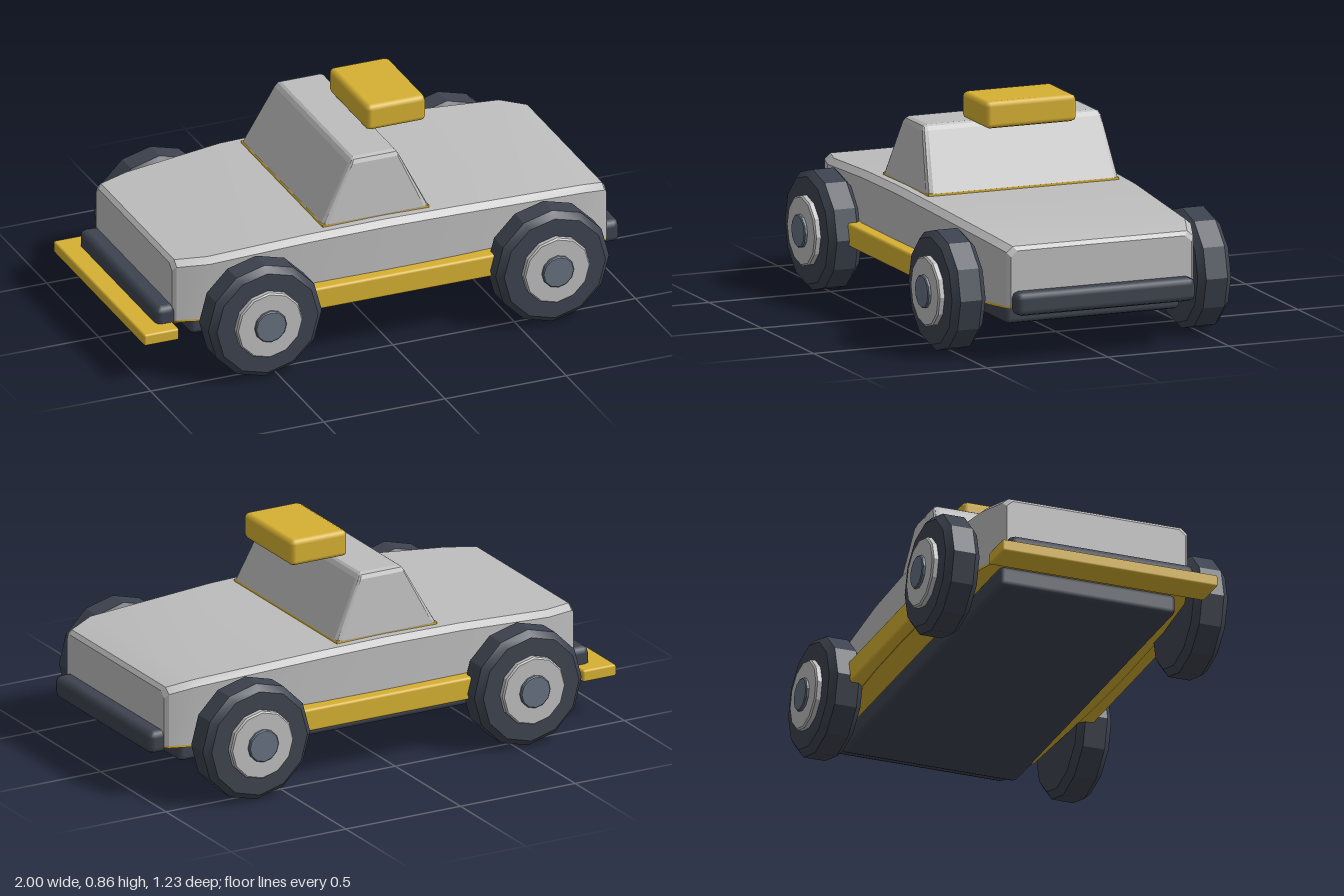
import * as THREE from 'three';
import { toCreasedNormals } from 'three/addons/utils/BufferGeometryUtils.js';
import { RoundedBoxGeometry } from 'three/addons/geometries/RoundedBoxGeometry.js';

function material(name, color) {
  const m = new THREE.MeshStandardMaterial({ color });
  m.name = name;
  return m;
}

// Skin closed cross-sections running along x; every ring has the same number of [z, y] points.
function loft(rings) {
  const n = rings[0].points.length, pos = [], idx = [];
  for (const r of rings) for (const [z, y] of r.points) pos.push(r.x, y, z);
  for (let i = 0; i < rings.length - 1; i++) {
    for (let j = 0; j < n; j++) {
      const k = (j + 1) % n;
      const a = i * n + j, b = a + n, c = (i + 1) * n + k, d = i * n + k;
      idx.push(a, b, c, a, c, d);
    }
  }
  const last = (rings.length - 1) * n;
  for (let j = 1; j < n - 1; j++) {
    idx.push(0, j, j + 1, last, last + j + 1, last + j);
  }
  const g = new THREE.BufferGeometry();
  g.setAttribute('position', new THREE.Float32BufferAttribute(pos, 3));
  g.setIndex(idx);
  return toCreasedNormals(g, 0.4);
}

// Twelve-sided disc with chamfered rims, its axis along z.
function disc(radius, z0, z1, bevel) {
  const profile = [
    [0, z0], [radius - bevel, z0], [radius, z0 + bevel],
    [radius, z1 - bevel], [radius - bevel, z1], [0, z1],
  ].map(([r, z]) => new THREE.Vector2(r, z));
  const g = new THREE.LatheGeometry(profile, 12).rotateX(Math.PI / 2);
  return toCreasedNormals(g, 0.4);
}

export function createModel() {
  const model = new THREE.Group();
  model.name = 'car';
  const grey = material('light grey', 0xbdbdbd);
  const dark = material('dark slate', 0x3d434f);
  const yellow = material('yellow', 0xd6b032);
  const steel = material('steel grey', 0x667080);

  function add(name, geometry, mat, parent = model) {
    const mesh = new THREE.Mesh(geometry, mat);
    mesh.name = name;
    parent.add(mesh);
    return mesh;
  }

  // Chamfered box given by its limits
  function block(name, mat, [x0, x1], [y0, y1], [z0, z1], bevel) {
    const g = new RoundedBoxGeometry(x1 - x0, y1 - y0, z1 - z0, 1, bevel);
    g.translate((x0 + x1) / 2, (y0 + y1) / 2, (z0 + z1) / 2);
    return add(name, g, mat);
  }

  // Body: x, half width, top height
  const stations = [
    [-0.855, 0.365, 0.445], [-0.84, 0.378, 0.46], [-0.72, 0.416, 0.467],
    [-0.32, 0.448, 0.497], [0, 0.452, 0.502], [0.28, 0.448, 0.496],
    [0.82, 0.42, 0.47], [0.922, 0.385, 0.446], [0.935, 0.372, 0.43],
  ];
  add('body', loft(stations.map(([x, w, top]) => ({
    x,
    points: [
      [w, 0.216], [w, top - 0.022], [w - 0.025, top],
      [-w + 0.025, top], [-w, top - 0.022], [-w, 0.216],
    ],
  }))), grey);

  // Floor plate following the body outline
  add('floorPlate', loft(stations.map(([x, w]) => ({
    x,
    points: [[w, 0.207], [w, 0.216], [-w, 0.216], [-w, 0.207]],
  }))), yellow);

  // Chassis, bumpers and the projecting end plate
  block('chassis', dark, [-0.775, 0.86], [0.13, 0.212], [-0.36, 0.36], 0.02);
  block('leftBumper', dark, [0.915, 0.995], [0.185, 0.275], [-0.37, 0.37], 0.025);
  block('rightBumper', dark, [-0.922, -0.838], [0.187, 0.277], [-0.377, 0.377], 0.025);
  block('endPlate', yellow, [-1, -0.855], [0.163, 0.21], [-0.44, 0.44], 0.008);

  // Cabin: a chamfered box tapered towards the roof
  const base = 0.485, roof = 0.75;
  const cabin = new RoundedBoxGeometry(0.46, roof - base, 0.795, 1, 0.022);
  cabin.translate(0, (base + roof) / 2, 0);
  const p = cabin.attributes.position;
  for (let i = 0; i < p.count; i++) {
    const t = (p.getY(i) - base) / (roof - base);
    p.setX(i, p.getX(i) * (1 - 0.6 * t) - 0.025 + 0.008 * t);
    p.setZ(i, p.getZ(i) * (1 - 0.08 * t));
  }
  cabin.computeVertexNormals();
  add('cabin', cabin, grey);
  block('cabinTrim', yellow, [-0.245, 0.195], [0.49, 0.508], [-0.394, 0.394], 0.003);
  block('roofBox', yellow, [0.027, 0.273], [0.755, 0.86], [-0.188, 0.188], 0.02);

  // Side skirts and wheels
  for (const side of [1, -1]) {
    const end = side > 0 ? 'front' : 'back';
    const zs = side > 0 ? [0.4, 0.5] : [-0.5, -0.4];
    block(end + 'Skirt', yellow, [-0.38, 0.46], [0.21, 0.3], zs, 0.01);
    for (const x of [-0.55, 0.635]) {
      const wheel = new THREE.Group();
      wheel.name = end + (x > 0 ? 'Left' : 'Right') + 'Wheel';
      add('tyre', disc(0.234, 0.438, 0.576, 0.025), dark, wheel);
      add('hub', disc(0.137, 0.56, 0.6, 0.006), grey, wheel);
      add('hubCap', disc(0.065, 0.59, 0.613, 0.004), steel, wheel);
      wheel.position.set(x, 0.236, 0);
      if (side < 0) wheel.rotation.y = Math.PI;
      model.add(wheel);
    }
  }
  return model;
}
